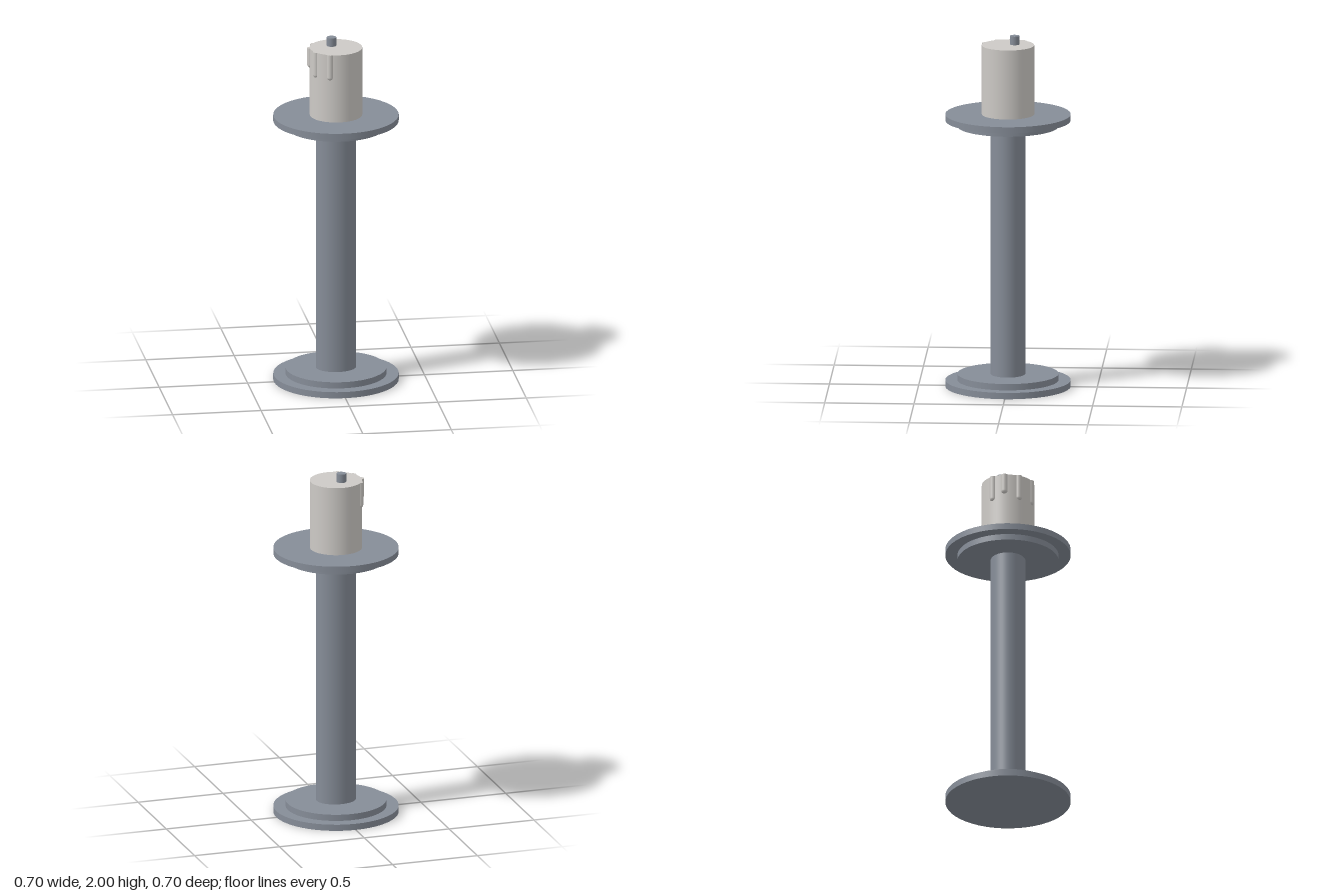
import * as THREE from 'three';

export function createModel() {
  const group = new THREE.Group();
  const metal = new THREE.MeshStandardMaterial({ color: 0x868d98 });
  metal.name = 'grey metal';
  const wax = new THREE.MeshStandardMaterial({ color: 0xcdcac6 });
  wax.name = 'pale wax';

  // Upright cylinder between two heights
  function cylinder(name, radius, y0, y1, material, x = 0, z = 0, sides = 48) {
    const mesh = new THREE.Mesh(new THREE.CylinderGeometry(radius, radius, y1 - y0, sides), material);
    mesh.name = name;
    mesh.position.set(x, (y0 + y1) / 2, z);
    group.add(mesh);
    return mesh;
  }

  // Stepped base
  cylinder('basePlate', 0.351, 0, 0.036, metal);
  cylinder('baseStep', 0.283, 0.036, 0.072, metal);

  // Slightly oval column
  const column = cylinder('column', 1, 0.072, 1.487, metal);
  column.scale.set(0.113, 1, 0.098);

  // Stepped tray
  cylinder('trayStep', 0.283, 1.487, 1.521, metal);
  cylinder('trayPlate', 0.351, 1.521, 1.556, metal);

  // Candle and off-centre wick
  const top = 1.951;
  cylinder('candle', 0.147, 1.556, top, wax);
  cylinder('wick', 0.027, top - 0.01, 2, metal, -0.02, -0.036, 24);

  // Wax drips: flat at the rim, rounded at the lower end
  const r = 0.019;
  const drips = [
    [-0.115, -0.078, 1.8],
    [-0.142, -0.013, 1.835],
    [-0.122, 0.066, 1.8],
    [-0.052, 0.128, 1.8],
  ];
  for (const [x, z, bottom] of drips) {
    const profile = [];
    for (let i = 0; i <= 6; i++) {
      const a = (i / 6) * Math.PI / 2;
      profile.push(new THREE.Vector2(r * Math.sin(a), bottom + r - r * Math.cos(a)));
    }
    profile.push(new THREE.Vector2(r, top));
    const drip = new THREE.Mesh(new THREE.LatheGeometry(profile, 16), wax);
    drip.name = 'waxDrip';
    drip.position.set(x, 0, z);
    group.add(drip);

    const cap = new THREE.Mesh(new THREE.CircleGeometry(r, 16), wax);
    cap.name = 'waxDripTop';
    cap.rotation.x = -Math.PI / 2;
    cap.position.set(x, top, z);
    group.add(cap);
  }

  return group;
}
